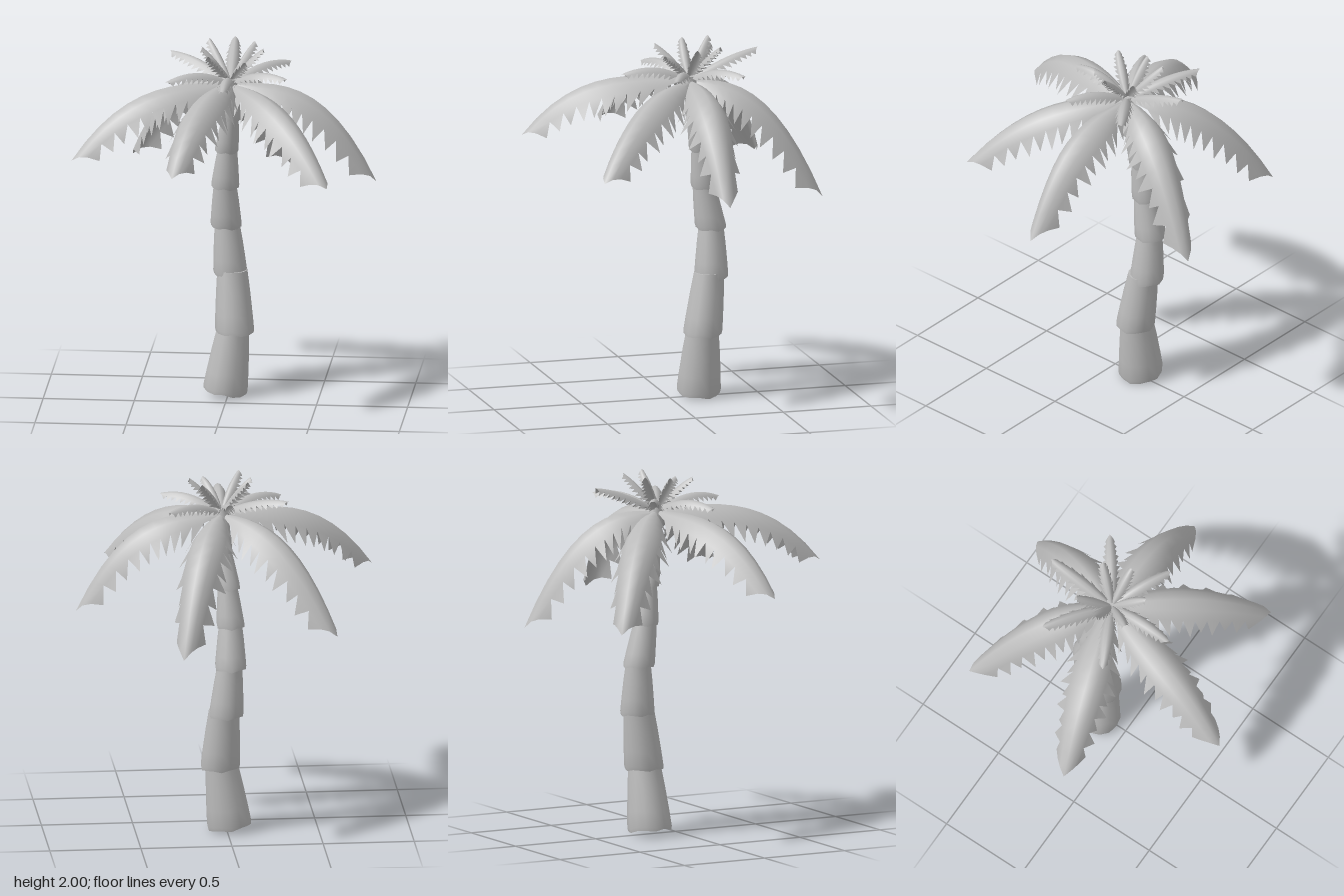
import * as THREE from 'three';
import { toCreasedNormals } from 'three/addons/utils/BufferGeometryUtils.js';

const grey = new THREE.MeshStandardMaterial({ color: 0xbcbcbc, side: THREE.DoubleSide });
grey.name = 'palm grey';

// One trunk sleeve: a flared, lipped, open lathe, sheared to follow the bend of the trunk
function trunkSection([y0, x0, z0, r0], [y1, x1, z1, r1], tilt) {
  const h = y1 - y0;
  const profile = [[r0 * 0.8, 0.012], [r0 * 0.97, 0], [r0, 0.02],
    [r0 * 0.8 + r1 * 0.2, h * 0.3], [r0 * 0.45 + r1 * 0.55, h * 0.65], [r1, h], [0, h]];
  const geo = new THREE.LatheGeometry(profile.map(p => new THREE.Vector2(...p)), 14);
  const pos = geo.attributes.position;
  for (let i = 0; i < pos.count; i++) {
    const x = pos.getX(i), y = pos.getY(i), z = pos.getZ(i);
    const t = THREE.MathUtils.clamp(y / h, 0, 1);
    const wave = 0.006 * Math.sin(Math.atan2(z, x) * 5) * Math.hypot(x, z) / r0;
    pos.setXYZ(i, x + x0 + (x1 - x0) * t,
      y + y0 + (wave - tilt * x) * (1 - t), z + z0 + (z1 - z0) * t);
  }
  return toCreasedNormals(geo, 0.8);
}

// Arched leaf with a ridge, two drooping sides and a row of teeth along each edge
function frond({ base, tip, rise, bend, width, teeth }) {
  const [bx, by, bz] = base, [tx, ty, tz] = tip;
  const dx = tx - bx, dz = tz - bz, len = Math.hypot(dx, dz);
  const drop = by + rise - ty;
  const side = new THREE.Vector3(dz / len, 0, -dx / len);
  const ridge = s => new THREE.Vector3(bx + dx * s,
    by + rise * s - drop * Math.pow(s, bend), bz + dz * s);
  const place = (along, across, down) => {
    // the sides sweep back from the ridge towards the tip
    const s = along * (1 - 0.07 * Math.abs(across) * along);
    const k = width * (0.2 + 0.8 * Math.sin(Math.PI * 0.87 * Math.pow(s, 0.75)));
    const a = ridge(Math.max(s - 0.01, 0)), b = ridge(Math.min(s + 0.01, 1));
    const normal = b.sub(a).normalize().cross(side);
    return ridge(s).addScaledVector(side, across * k).addScaledVector(normal, -down * k);
  };

  const section = [[-0.68, 0.55], [-0.4, 0.17], [0, 0], [0.4, 0.17], [0.68, 0.55]];
  const verts = [], index = [];
  const add = p => verts.push(p.x, p.y, p.z) / 3 - 1;
  const rows = [];
  for (let i = 0; i <= teeth; i++) {
    rows.push(section.map(([u, d]) => add(place(i / teeth, u, d))));
  }
  for (let i = 0; i < teeth; i++) {
    const p = rows[i], q = rows[i + 1];
    for (let j = 0; j < 4; j++) index.push(p[j], q[j], p[j + 1], q[j], q[j + 1], p[j + 1]);
    if (i === 0) continue;
    const s = Math.min((i + 1.2) / teeth, 1), long = i % 2 ? 1.12 : 0.95;
    index.push(p[0], add(place(s, -long, 1.2)), q[0]);
    index.push(p[4], q[4], add(place(s, long, 1.2)));
  }
  const geo = new THREE.BufferGeometry();
  geo.setAttribute('position', new THREE.Float32BufferAttribute(verts, 3));
  geo.setIndex(index);
  geo.computeVertexNormals();
  return geo;
}

export function createModel() {
  const palm = new THREE.Group();
  palm.name = 'palmTree';
  const group = name => {
    const g = new THREE.Group();
    g.name = name;
    palm.add(g);
    return g;
  };
  const addMesh = (parent, name, geo) => {
    const mesh = new THREE.Mesh(geo, grey);
    mesh.name = name;
    parent.add(mesh);
  };

  // Trunk sleeves, each as [y, x, z, radius] at its bottom and top
  const trunk = group('trunk');
  [
    [[0.025, -0.017, -0.17, 0.122], [0.39, 0.027, -0.18, 0.088]],
    [[0.36, 0.035, -0.177, 0.108], [0.70, 0.018, -0.22, 0.083]],
    [[0.67, 0.007, -0.235, 0.094], [0.96, -0.012, -0.24, 0.068]],
    [[0.94, -0.017, -0.24, 0.086], [1.19, -0.02, -0.2, 0.062]],
    [[1.17, -0.02, -0.207, 0.077], [1.40, -0.005, -0.18, 0.052]],
    [[1.38, -0.01, -0.182, 0.065], [1.59, 0.015, -0.14, 0.045]],
    [[1.57, 0.018, -0.142, 0.054], [1.81, 0.022, -0.108, 0.034]],
  ].forEach(([a, b], i) => addMesh(trunk, 'trunkSection' + (i + 1), trunkSection(a, b, i ? 0.04 : 0.15)));

  // Large drooping fronds: tip x, y, z, then how late the leaf bends and its start height
  const large = group('largeFronds');
  [
    [0.82, 1.25, -0.105, 2.9, 1.785],
    [0.605, 1.38, 0.547, 2.4, 1.785],
    [-0.225, 1.48, 0.777, 3.2, 1.805],
    [-0.83, 1.40, 0.16, 2.9, 1.79],
    [-0.565, 1.225, -0.65, 2.4, 1.785],
    [0.29, 1.15, -0.785, 2.5, 1.785],
  ].forEach(([x, y, z, bend, y0]) => addMesh(large, 'largeFrond', frond({
    base: [0.02 + x * 0.04, y0, -0.108 + z * 0.04], tip: [x, y, z],
    rise: 0.05, bend, width: 0.142, teeth: 11,
  })));

  // Middle ring of small, nearly level fronds
  const middle = group('middleFronds');
  [
    [0.01, 1.945, -0.5], [0.335, 1.86, -0.335], [0.345, 1.86, 0.06],
    [0.01, 1.84, 0.28], [-0.325, 1.83, 0.07], [-0.33, 1.905, -0.325],
  ].forEach(tip => addMesh(middle, 'middleFrond', frond({
    base: [0.02, 1.79, -0.105], tip, rise: 0.26, bend: 2, width: 0.045, teeth: 11,
  })));

  // Upright young fronds at the very top
  const young = group('youngFronds');
  [
    [0.2, 1.99, -0.1], [0.11, 1.95, 0.06], [-0.09, 1.98, 0.06],
    [-0.14, 1.99, -0.11], [-0.11, 2.0, -0.25], [0.14, 1.99, -0.25],
  ].forEach(tip => addMesh(young, 'youngFrond', frond({
    base: [0.02, 1.8, -0.105], tip, rise: 0.26, bend: 2, width: 0.036, teeth: 9,
  })));

  return palm;
}
